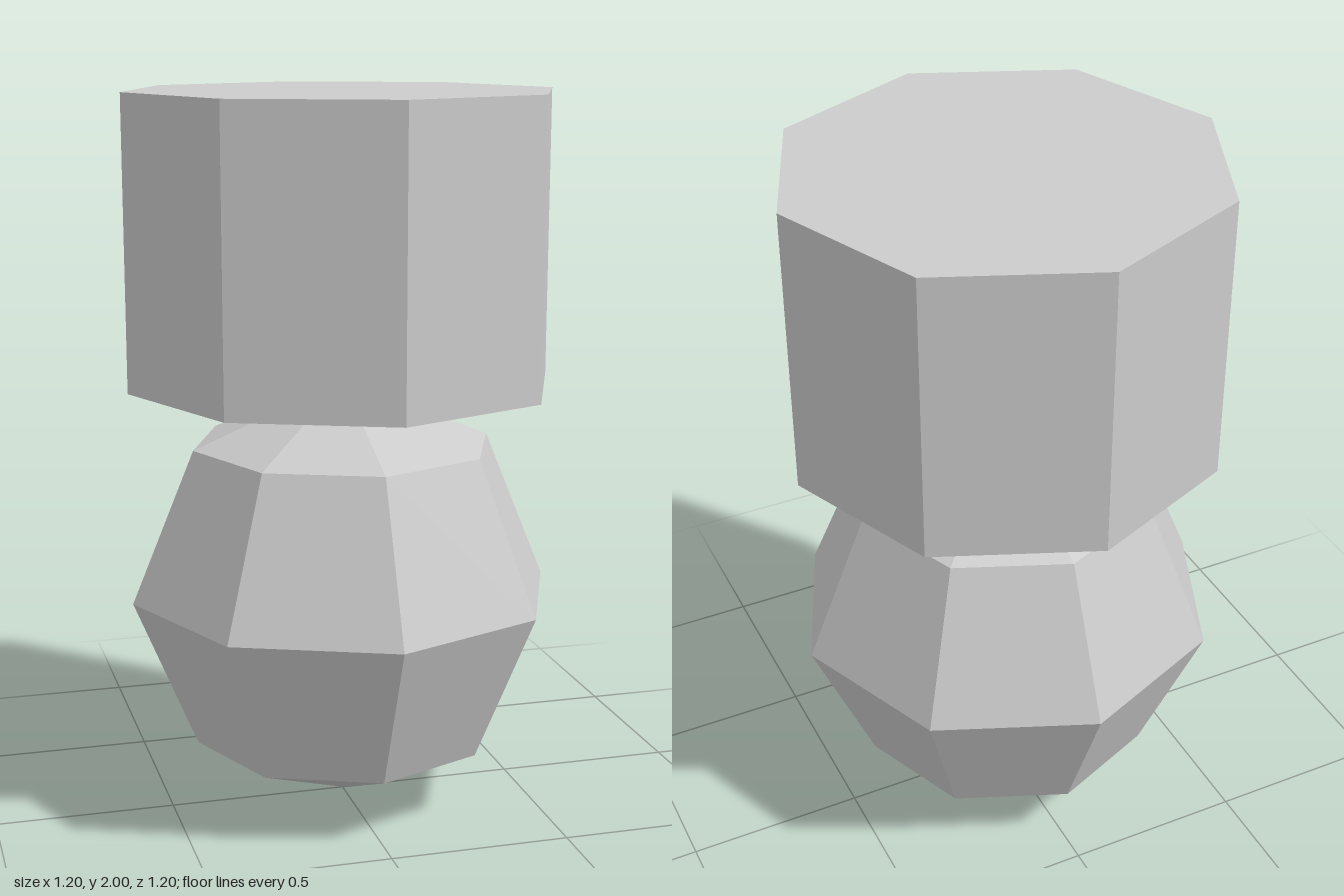
import * as THREE from 'three';

const SIDES = 8;

// Eight-sided faceted solid turned from a profile of [radius, height] points
function turned(name, profile) {
  const geometry = new THREE.LatheGeometry(profile.map(([r, y]) => new THREE.Vector2(r, y)), SIDES);
  const material = new THREE.MeshStandardMaterial({ color: 0xcccccc, flatShading: true });
  const mesh = new THREE.Mesh(geometry, material);
  mesh.name = name;
  return mesh;
}

export function createModel() {
  const group = new THREE.Group();
  group.name = 'ballAndCap';

  // Faceted ball: poles, two rings and an equator, with its tip on the ground
  const radius = 0.6, centre = 0.608;
  const ball = [[0, 0]];
  for (let i = 1; i <= 4; i++) {
    const a = (i * Math.PI) / 4;
    ball.push([i === 4 ? 0 : radius * Math.sin(a), centre - radius * Math.cos(a)]);
  }
  group.add(turned('ball', ball));

  // Hollow cap, open underneath with a thin wall and roof
  group.add(turned('cap', [
    [0, 1.94], [0.54, 1.94], [0.54, 1.2], [0.6, 1.2], [0.6, 2], [0, 2],
  ]));

  return group;
}
